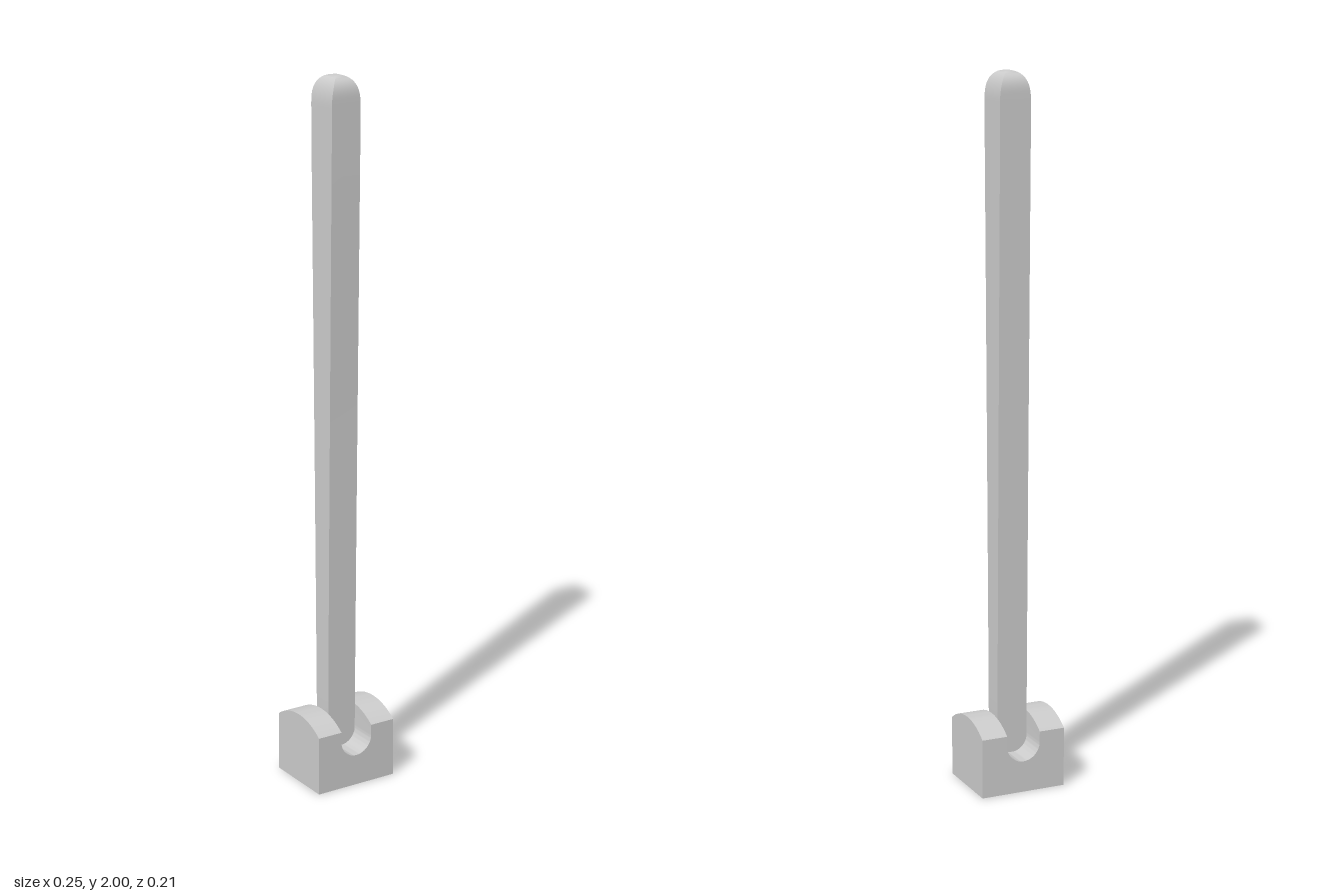
import * as THREE from 'three';
import { toCreasedNormals } from 'three/addons/utils/BufferGeometryUtils.js';

const grey = new THREE.MeshStandardMaterial({ color: 0xcccccc });

// Base block: U-slotted front profile swept along z, its top bent into an arch
function makeBase() {
  const w = 0.125, d = 0.106, top = 0.206, slot = 0.05, slotY = 0.14, R = 0.175;
  const s = new THREE.Shape();
  s.moveTo(-w, 0);
  s.lineTo(w, 0);
  s.lineTo(w, top);
  s.lineTo(slot, top);
  s.lineTo(slot, slotY);
  s.absarc(0, slotY, slot, 0, Math.PI, true);
  s.lineTo(-slot, top);
  s.lineTo(-w, top);
  s.closePath();
  const g = new THREE.ExtrudeGeometry(s, { depth: 2 * d, steps: 24, bevelEnabled: false, curveSegments: 20 });
  g.translate(0, 0, -d);
  const p = g.attributes.position;
  for (let i = 0; i < p.count; i++) {
    if (p.getY(i) > top - 0.001) {
      const z = p.getZ(i);
      p.setY(i, top - R + Math.sqrt(R * R - z * z));
    }
  }
  const mesh = new THREE.Mesh(toCreasedNormals(g, 0.4), grey);
  mesh.name = 'slottedBase';
  return mesh;
}

// Lever: square bar widening upwards in z, half-round foot and pillow-shaped tip
function makeLever() {
  const hw = 0.045, y0 = 0.092, y1 = 2;
  const ys = [];
  const n = 14;
  for (let i = 0; i <= n; i++) ys.push(y0 + hw * (1 - Math.cos((i / n) * Math.PI / 2)));
  for (let i = 1; i < 16; i++) ys.push(y0 + hw + (i / 16) * (1.92 - y0 - hw));
  for (let i = 0; i <= n; i++) ys.push(1.92 + 0.08 * Math.sin((i / n) * Math.PI / 2));

  const round = (y, start, e) => {
    const t = Math.min(1, Math.max(0, (y - start) / (y1 - start)));
    return Math.pow(1 - Math.pow(t, e), 1 / e);
  };
  const halfX = (y) => {
    const b = Math.max(0, y0 + hw - y);
    return Math.sqrt(Math.max(0, hw * hw - b * b)) * round(y, 1.92, 2.3);
  };
  const halfZ = (y) => {
    const t = Math.min(1, Math.max(0, (y - 0.1) / 1.75));
    return (0.029 + 0.021 * Math.pow(t, 1.15)) * round(y, 1.94, 2.6);
  };

  const rows = ys.length - 1;
  const g = new THREE.BoxGeometry(2, rows, 2, 1, rows, 1);
  const p = g.attributes.position;
  for (let i = 0; i < p.count; i++) {
    const y = ys[Math.round(p.getY(i) + rows / 2)];
    p.setXYZ(i, p.getX(i) * halfX(y), y, p.getZ(i) * halfZ(y));
  }
  const mesh = new THREE.Mesh(toCreasedNormals(g, 0.7), grey);
  mesh.name = 'lever';
  return mesh;
}

export function createModel() {
  const model = new THREE.Group();
  model.name = 'leverOnBase';
  model.add(makeBase(), makeLever());
  return model;
}
